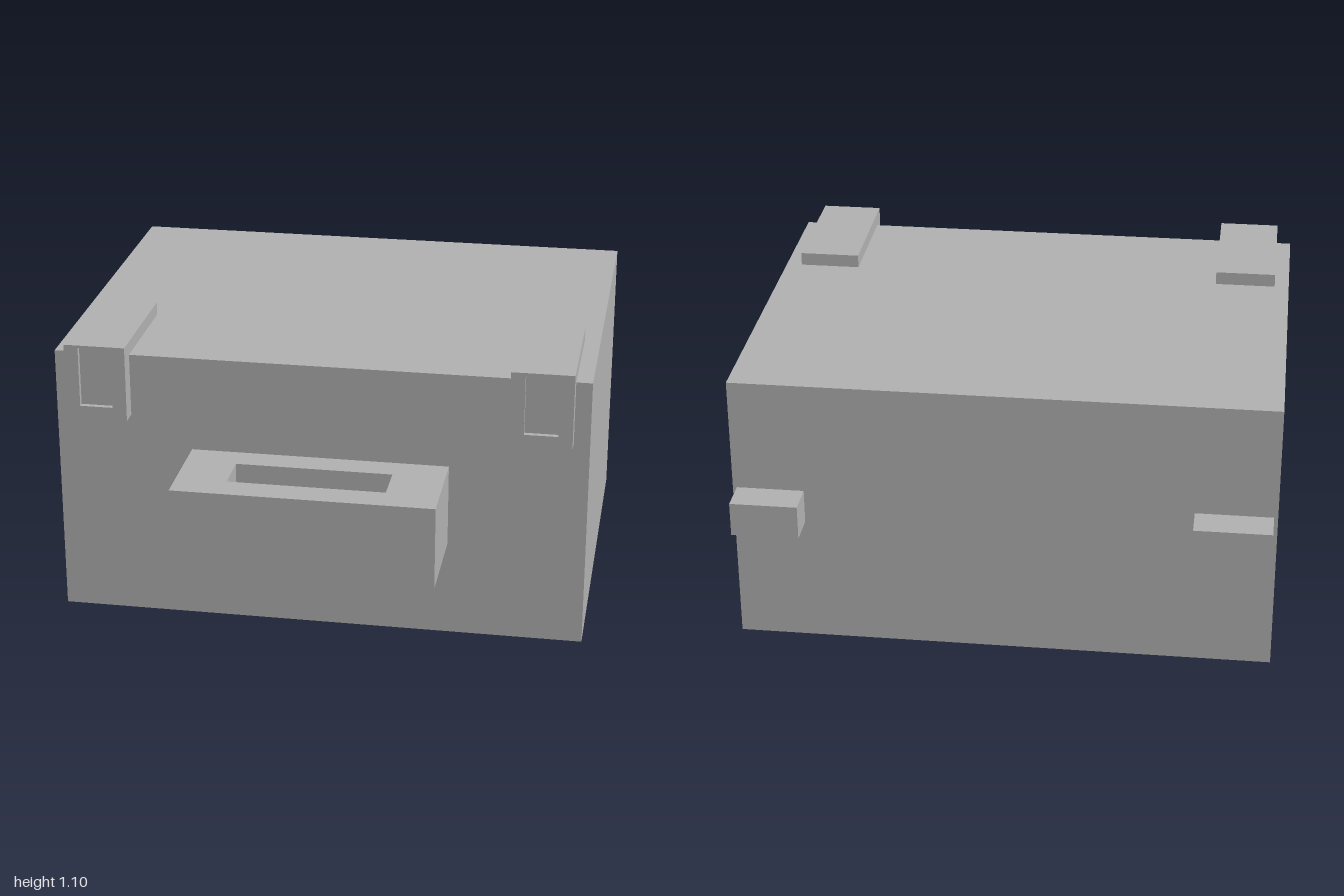
import * as THREE from 'three';

// Rectangular outline, reused for frames and their openings
function rect(Type, x0, x1, y0, y1) {
  const p = new Type();
  p.moveTo(x0, y0);
  p.lineTo(x1, y0);
  p.lineTo(x1, y1);
  p.lineTo(x0, y1);
  p.closePath();
  return p;
}

// Extruded rectangle with a rectangular opening; outer and inner are [x0, x1, y0, y1]
function frameGeometry(outer, inner, depth) {
  const shape = rect(THREE.Shape, ...outer);
  shape.holes.push(rect(THREE.Path, ...inner));
  return new THREE.ExtrudeGeometry(shape, { depth, bevelEnabled: false });
}

export function createModel() {
  const model = new THREE.Group();
  model.name = 'case';
  const grey = new THREE.MeshStandardMaterial({ color: 0xb2b2b2 });
  grey.name = 'grey';

  function add(name, geometry, parent = model) {
    const mesh = new THREE.Mesh(geometry, grey);
    mesh.name = name;
    parent.add(mesh);
    return mesh;
  }

  // Box given by its extents on each axis
  function box(name, [x0, x1], [y0, y1], [z0, z1], parent) {
    const mesh = add(name, new THREE.BoxGeometry(x1 - x0, y1 - y0, z1 - z0), parent);
    mesh.position.set((x0 + x1) / 2, (y0 + y1) / 2, (z0 + z1) / 2);
    return mesh;
  }

  // Main body
  box('body', [-1, 1], [0, 1.05], [-0.875, 0.625]);

  // Front handle: a block with a vertical slot all the way through
  const handle = add('handle', frameGeometry(
    [-0.485, 0.485, 0.625, 1], [-0.295, 0.29, 0.73, 0.89], 0.315));
  handle.rotation.x = Math.PI / 2;
  handle.position.y = 0.685;

  // Latches folded over the front top edge, with a shallow recess in front
  for (const [name, x] of [['rightLatch', -0.83], ['leftLatch', 0.825]]) {
    const latch = new THREE.Group();
    latch.name = name;
    latch.position.x = x;
    model.add(latch);
    const width = [-0.115, 0.115];
    box('latchTop', width, [1.05, 1.1], [0.19, 0.625], latch);
    box('latchBack', width, [0.81, 1.1], [0.625, 0.67], latch);
    const frame = add('latchFrame', frameGeometry(
      [...width, 0.81, 1.1], [-0.062, 0.062, 0.86, 1.09], 0.02), latch);
    frame.position.z = 0.67;
  }

  // Rear feet
  box('rightFoot', [-0.985, -0.7], [0.49, 0.62], [-1, -0.875]);
  box('leftFoot', [0.735, 0.985], [0.49, 0.62], [-1, -0.875]);

  return model;
}
